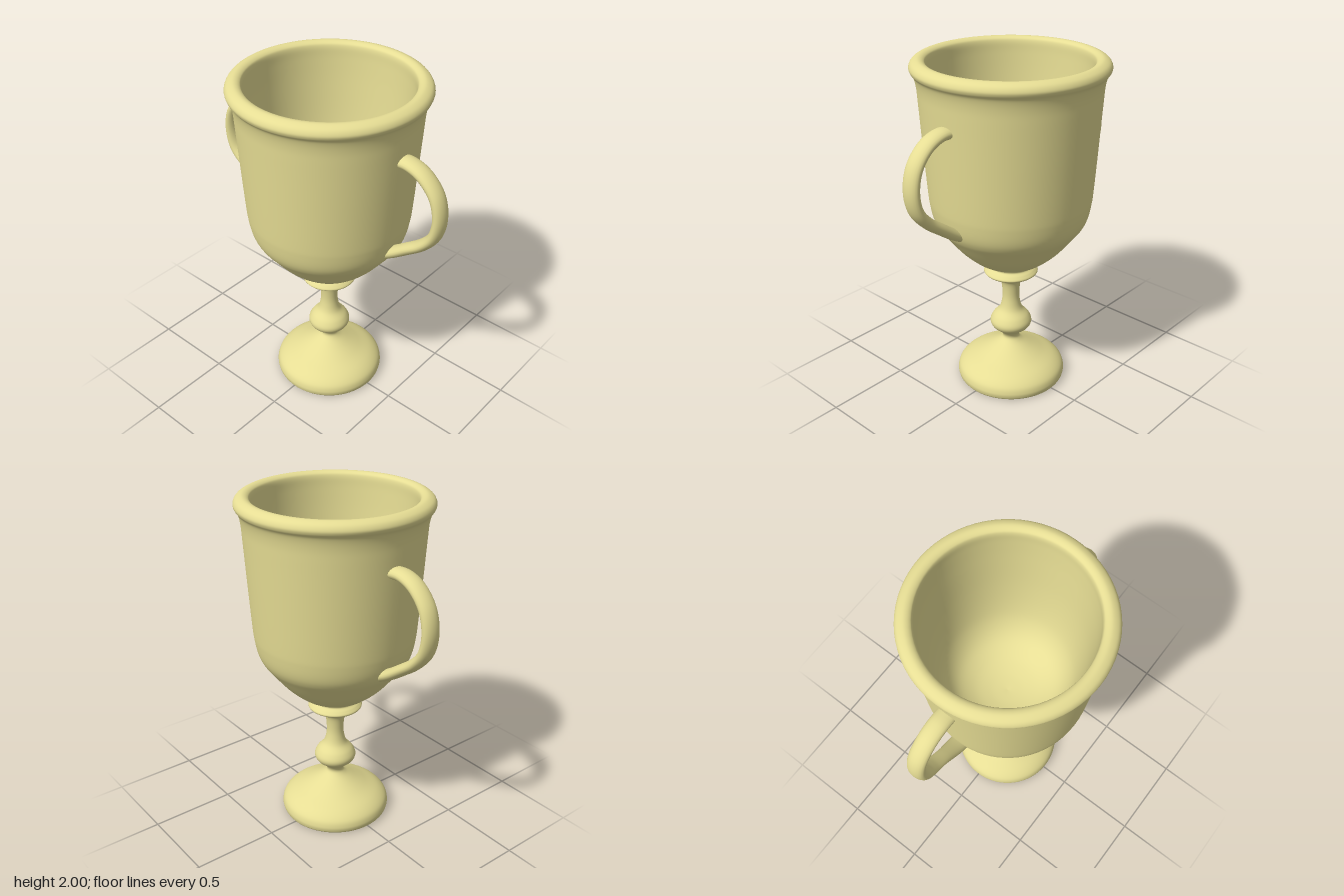
import * as THREE from 'three';

const brass = new THREE.MeshStandardMaterial({ color: 0xe6dd94, side: THREE.DoubleSide });
const AXIS = 0.013; // the cup sits slightly off the midpoint between the handles

// Smooth lathe through [radius, height] points
function turned(name, points, samples) {
  const curve = new THREE.SplineCurve(points.map(([r, y]) => new THREE.Vector2(r, y)));
  const profile = curve.getPoints(samples);
  profile.forEach(p => { p.x = Math.max(p.x, 0); });
  const mesh = new THREE.Mesh(new THREE.LatheGeometry(profile, 72), brass);
  mesh.name = name;
  mesh.position.x = AXIS;
  return mesh;
}

// Loop handle with an oval section, slightly pinched near its lower end
function handle(name, side) {
  const path = new THREE.CatmullRomCurve3([
    [0.46, 1.694], [0.55, 1.697], [0.64, 1.662], [0.722, 1.572], [0.751, 1.45],
    [0.728, 1.335], [0.66, 1.25], [0.56, 1.174], [0.47, 1.112], [0.4, 1.075],
  ].map(([x, y]) => new THREE.Vector3(x * side, y, 0)));
  const geo = new THREE.TubeGeometry(path, 64, 0.033, 20);
  geo.scale(1, 1, 1.65);
  const pos = geo.attributes.position;
  for (let i = 0; i < pos.count; i++) {
    const pinch = 1 - 0.2 * Math.exp(-(((pos.getY(i) - 1.19) / 0.07) ** 2));
    pos.setZ(i, pos.getZ(i) * pinch);
  }
  const mesh = new THREE.Mesh(geo, brass);
  mesh.name = name;
  return mesh;
}

export function createModel() {
  const cup = new THREE.Group();
  cup.name = 'trophyCup';

  // Flat underside
  const underside = new THREE.Mesh(new THREE.CircleGeometry(0.318, 72), brass);
  underside.name = 'underside';
  underside.rotation.x = Math.PI / 2;
  underside.position.x = AXIS;
  cup.add(underside);

  // Domed foot, narrow neck, knob, stem and flared collar
  cup.add(turned('footAndStem', [
    [0.318, 0], [0.325, 0.012], [0.328, 0.04], [0.314, 0.078], [0.27, 0.117],
    [0.19, 0.16], [0.115, 0.203], [0.065, 0.237], [0.05, 0.265],
    [0.07, 0.3], [0.112, 0.335], [0.125, 0.37], [0.108, 0.41],
    [0.07, 0.455], [0.054, 0.51], [0.051, 0.57], [0.06, 0.64], [0.085, 0.67],
    [0.135, 0.695], [0.16, 0.715], [0.147, 0.735], [0.128, 0.752], [0.135, 0.772],
  ], 154));

  // Bowl: outer wall, rolled rim, then the tapering inner wall down to a shallow floor
  cup.add(turned('bowl', [
    [0.135, 0.772], [0.205, 0.805], [0.3, 0.888], [0.391, 1.0], [0.427, 1.05],
    [0.448, 1.1], [0.462, 1.17], [0.47, 1.25], [0.486, 1.5], [0.501, 1.75],
    [0.508, 1.85], [0.521, 1.91], [0.539, 1.938], [0.543, 1.96], [0.528, 1.985],
    [0.495, 2.0], [0.466, 1.993], [0.453, 1.97], [0.45, 1.9], [0.441, 1.75],
    [0.42, 1.5], [0.39, 1.3], [0.352, 1.17], [0.29, 1.075], [0.2, 1.015],
    [0.1, 0.985], [0, 0.975],
  ], 156));

  cup.add(handle('leftHandle', 1), handle('rightHandle', -1));
  return cup;
}
